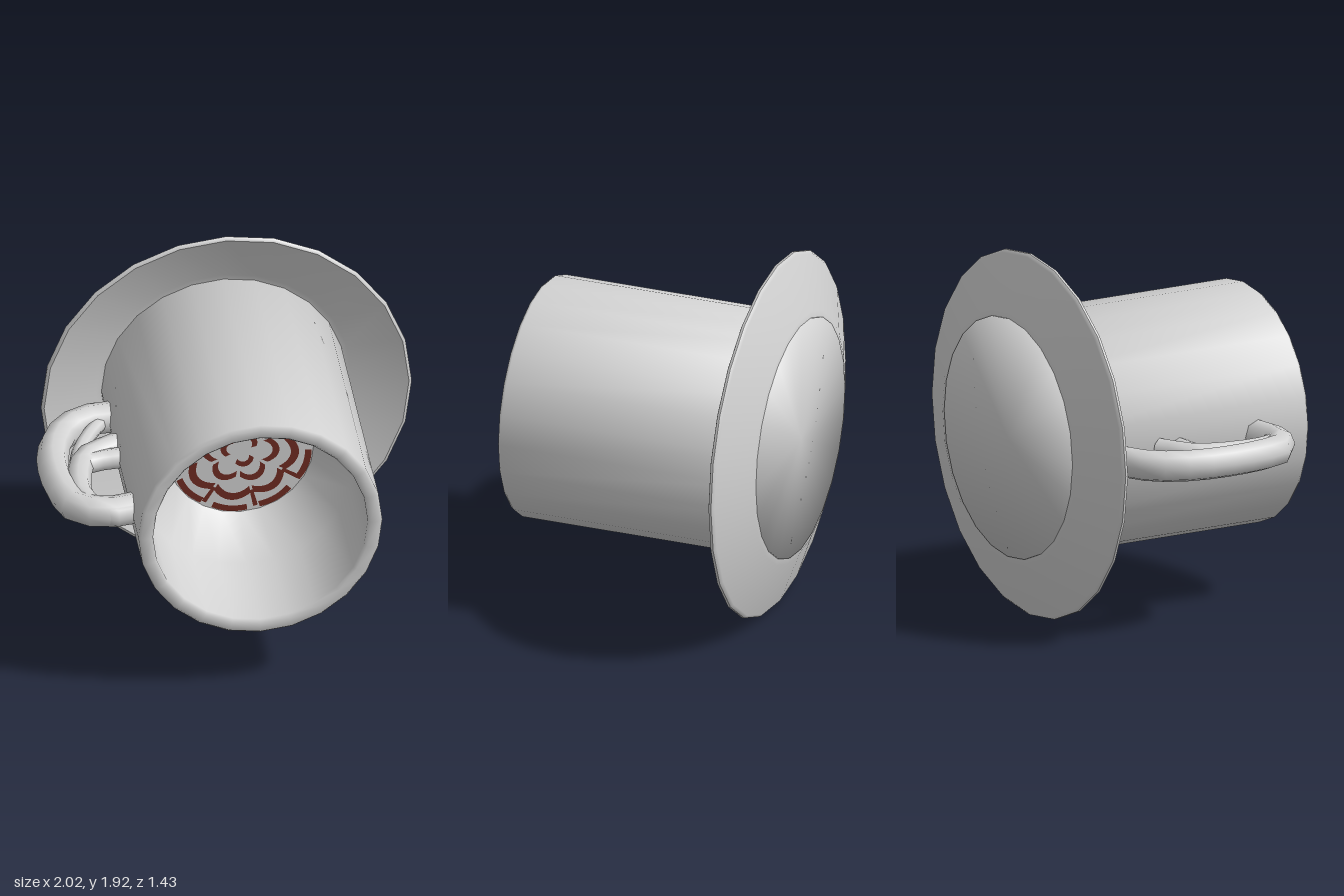
import * as THREE from 'three';

const CX = 0.04, CY = 0.963, SIDES = 24;

export function createModel() {
  const china = new THREE.MeshStandardMaterial({ name: 'pale china', color: 0xd2d2d2, side: THREE.DoubleSide });
  const red = new THREE.MeshStandardMaterial({ name: 'brick red', color: 0x702c22 });
  const model = new THREE.Group();
  model.name = 'cupAndSaucer';

  const add = (name, geometry, material = china) => {
    const mesh = new THREE.Mesh(geometry, material);
    mesh.name = name;
    model.add(mesh);
    return mesh;
  };

  // Turned parts: profile is [radius, z], spun about the cup's z axis
  const turned = (name, profile) => {
    const g = new THREE.LatheGeometry(profile.map(([r, z]) => new THREE.Vector2(r, z)), SIDES);
    g.rotateX(Math.PI / 2);
    g.translate(CX, CY, 0);
    return add(name, g);
  };

  // Cup lying on its side: base, wall, rounded lip, straight then tapering inside
  turned('cup', [
    [0, -0.715], [0.632, -0.715], [0.632, 0.695], [0.618, 0.713], [0.57, 0.713],
    [0.556, 0.695], [0.556, 0.17], [0.38, -0.05],
  ]);
  turned('cupFloor', [[0.38, -0.05], [0, -0.05]]);

  // Saucer standing upright behind the cup
  turned('saucerBack', [[0.6, -0.708], [0.665, -0.705], [0.945, -0.6], [0.96, -0.585]]);
  turned('saucerRim', [[0.96, -0.585], [0.96, -0.572], [0.945, -0.566]]);
  turned('saucerDish', [[0.945, -0.566], [0.66, -0.685], [0.58, -0.69]]);

  // Handle tubes on the right, given as [x, z] at the cup's mid height
  const tube = (name, path, radius, segments) => {
    const curve = new THREE.CatmullRomCurve3(path.map(([x, z]) => new THREE.Vector3(x, CY, z)));
    return add(name, new THREE.TubeGeometry(curve, segments, radius, 8));
  };
  tube('handle', [
    [-0.57, -0.445], [-0.71, -0.43], [-0.84, -0.33], [-0.922, -0.13],
    [-0.922, 0.2], [-0.86, 0.37], [-0.72, 0.43], [-0.57, 0.41],
  ], 0.083, 12);
  tube('handleBrace', [
    [-0.58, 0.44], [-0.72, 0.45], [-0.82, 0.32], [-0.825, 0.12], [-0.76, -0.07], [-0.58, -0.18],
  ], 0.068, 10);
  tube('handleStrut', [[-0.82, 0.02], [-0.78, -0.15], [-0.7, -0.31], [-0.62, -0.42]], 0.04, 6);
  tube('handleFoot', [[-0.78, -0.02], [-0.69, -0.05], [-0.58, -0.06]], 0.055, 4);

  // Painted rosette on the cup floor: curved strokes with scalloped radius
  const rosette = [];
  const stroke = (radiusAt, width, from, to) => {
    const outer = [], inner = [], n = 14;
    for (let i = 0; i <= n; i++) {
      const a = THREE.MathUtils.lerp(from, to, i / n);
      const r = radiusAt(i / n);
      const c = Math.cos(a), s = Math.sin(a);
      outer.push(new THREE.Vector2(c * Math.min(r + width / 2, 0.378), s * Math.min(r + width / 2, 0.378)));
      inner.unshift(new THREE.Vector2(c * (r - width / 2), s * (r - width / 2)));
    }
    rosette.push(new THREE.Shape([...outer, ...inner]));
  };
  // rings of petals: count, base radius, bulge, width, turn, share of each petal painted
  const rings = [
    [9, 0.352, 0.005, 0.034, 0.1, 0.74],
    [8, 0.25, 0.035, 0.042, 0.25, 0.93],
    [6, 0.145, 0.04, 0.036, 0.5, 0.88],
    [3, 0.07, 0.02, 0.03, 0.2, 0.6],
  ];
  for (const [count, radius, bulge, width, turn, share] of rings) {
    const step = Math.PI * 2 / count;
    for (let i = 0; i < count; i++) {
      const a = turn + i * step;
      stroke(t => radius + bulge * Math.sin(Math.PI * t), width, a, a + step * share);
    }
  }
  // short spokes joining the outer rings
  for (let i = 0; i < 8; i++) {
    const a = 0.22 + i * Math.PI / 4;
    stroke(() => 0.305, 0.1, a - 0.035, a + 0.035);
  }
  const paint = add('floorRosette', new THREE.ShapeGeometry(rosette), red);
  paint.position.set(CX, CY, -0.046);

  return model;
}
